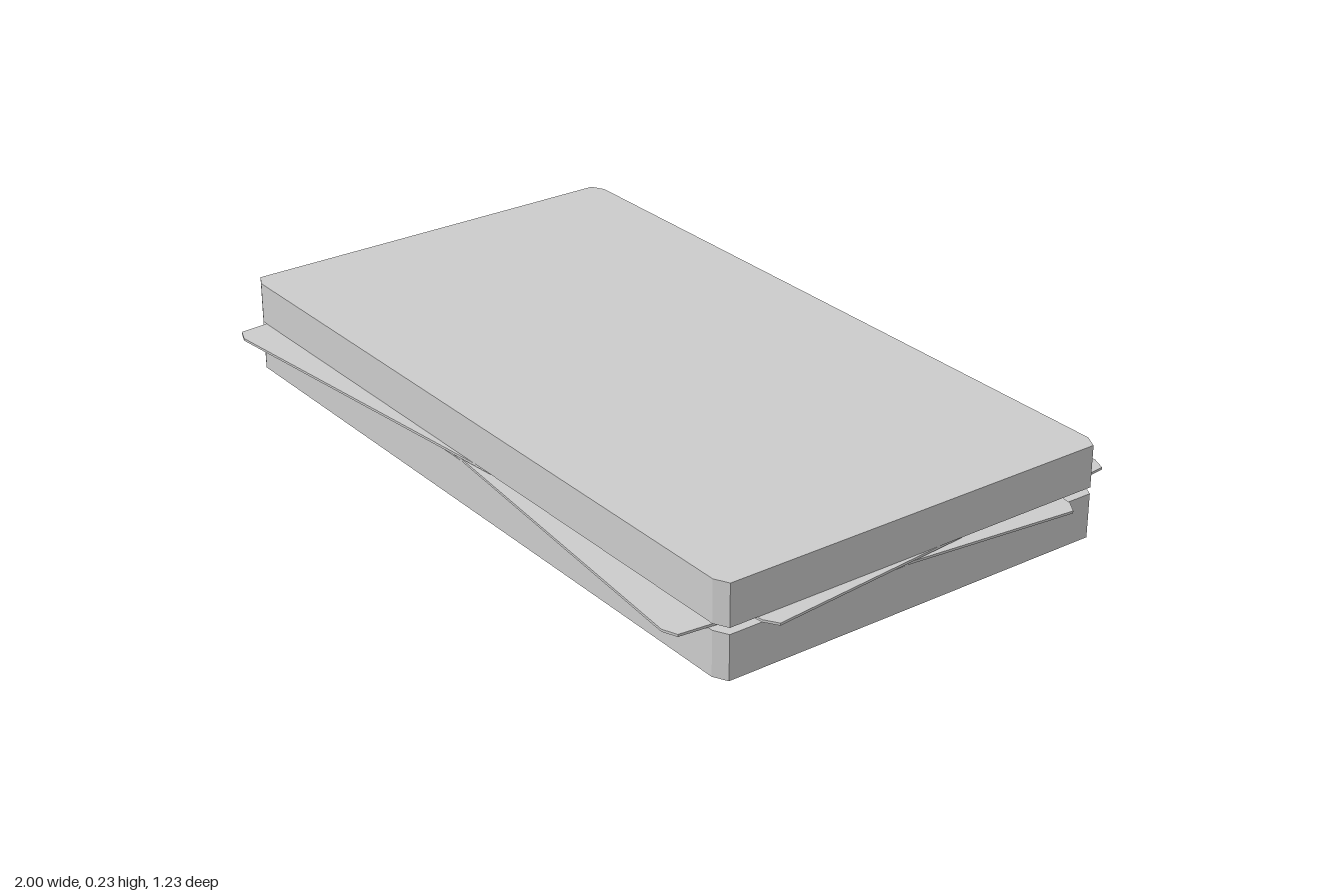
import * as THREE from 'three';

const HALF_X = 0.955, HALF_Z = 0.528; // card half sizes
const CUT_X = 0.035, CUT_Z = 0.018; // clipped corners
const FAN = 0.098; // turn of the two fanned cards, in radians

// Outline of a card, running round all four clipped corners
function cardOutline() {
  const points = [];
  for (const [sx, sz] of [[1, 1], [-1, 1], [-1, -1], [1, -1]]) {
    const side = new THREE.Vector2(sx * HALF_X, sz * (HALF_Z - CUT_Z));
    const end = new THREE.Vector2(sx * (HALF_X - CUT_X), sz * HALF_Z);
    points.push(...(sx * sz > 0 ? [side, end] : [end, side]));
  }
  return points;
}

// Open band of card edges, one flat quad per outline side
function edgeBandGeometry(outline, height) {
  const positions = [];
  outline.forEach((a, i) => {
    const b = outline[(i + 1) % outline.length];
    const corners = [[a, 0], [b, 0], [b, height], [a, 0], [b, height], [a, height]];
    for (const [p, y] of corners) positions.push(p.x, y, -p.y);
  });
  const geometry = new THREE.BufferGeometry();
  geometry.setAttribute('position', new THREE.Float32BufferAttribute(positions, 3));
  geometry.computeVertexNormals();
  return geometry;
}

export function createModel() {
  const model = new THREE.Group();
  model.name = 'cardDeck';
  const material = new THREE.MeshStandardMaterial({ color: 0xcccccc, side: THREE.DoubleSide });
  const outline = cardOutline();
  const shape = new THREE.Shape(outline);
  const faceGeometry = new THREE.ShapeGeometry(shape).rotateX(-Math.PI / 2);
  const cardGeometry = new THREE.ExtrudeGeometry(shape, { depth: 0.006, bevelEnabled: false }).rotateX(-Math.PI / 2);

  const add = (parent, name, geometry, y, turn = 0) => {
    const mesh = new THREE.Mesh(geometry, material);
    mesh.name = name;
    mesh.position.y = y;
    mesh.rotation.y = turn;
    parent.add(mesh);
  };

  // Hollow stack: bands of card edges closed by one face on top, open below
  const addStack = (name, count, bottom, top) => {
    const stack = new THREE.Group();
    stack.name = name;
    const pitch = (top - bottom) / count;
    const band = edgeBandGeometry(outline, pitch);
    for (let i = 0; i < count; i++) add(stack, 'cardEdge', band, bottom + i * pitch);
    add(stack, 'topFace', faceGeometry, top);
    model.add(stack);
  };

  // Two straight stacks with a pair of crossed cards between them
  addStack('lowerStack', 25, 0, 0.111);
  add(model, 'lowerFannedCard', cardGeometry, 0.112, -FAN);
  add(model, 'upperFannedCard', cardGeometry, 0.12, FAN);
  addStack('upperStack', 24, 0.127, 0.232);
  return model;
}
